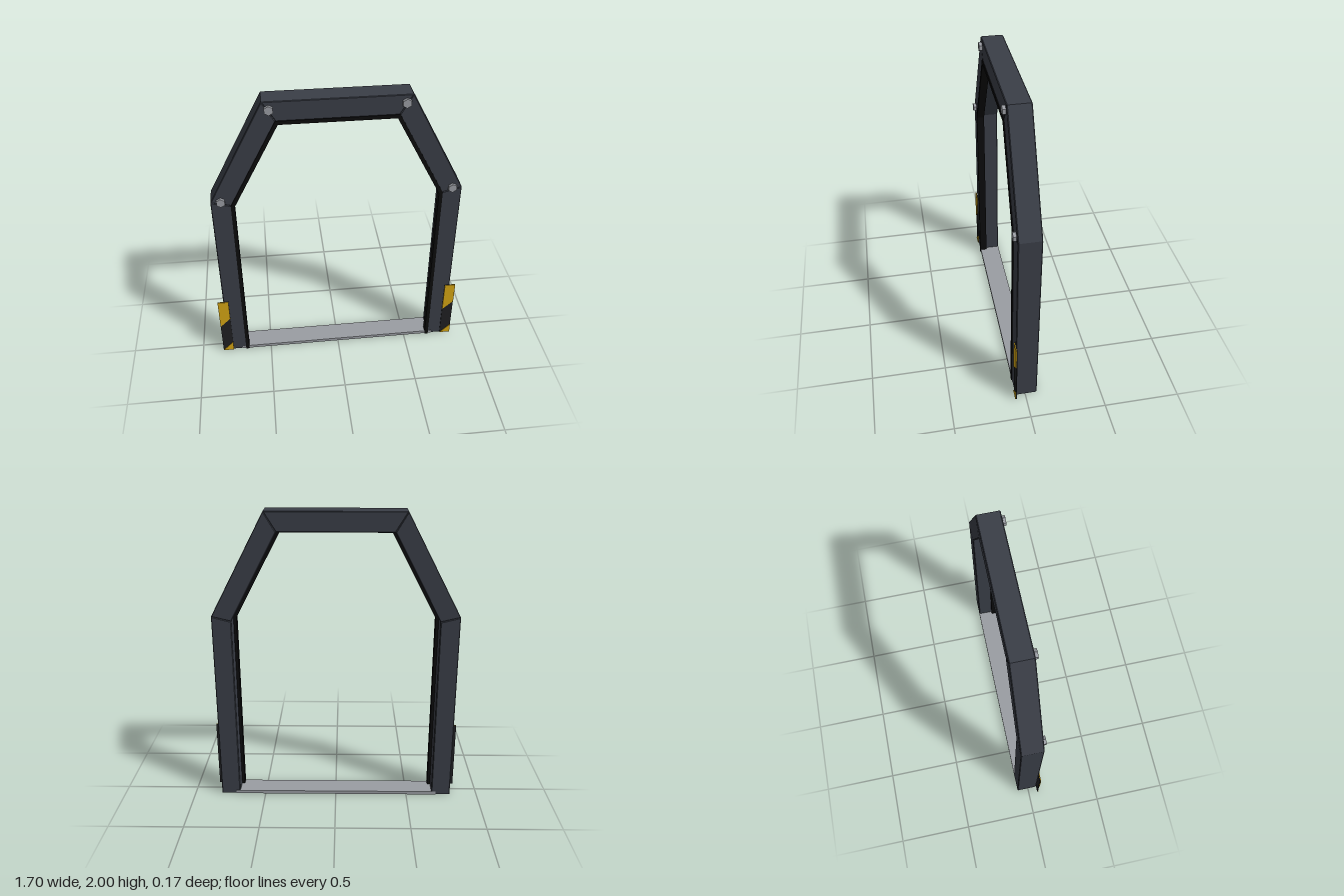
import * as THREE from 'three';

const mat = (color) => new THREE.MeshStandardMaterial({ color, flatShading: true });
const FRONT = 0.065, BACK = -0.08;

// Right half of the arch outline, moved inward by d: foot, shoulder, top corner
const outline = (d) => [
  [0.81 - d, 0],
  [0.81 - d, 1.32 - 0.25 * d],
  [0.45 - 0.6025 * d, 2 - d],
];

// The whole arch path from right foot to left foot
const arch = (d) => {
  const half = outline(d);
  return [...half, ...half.slice().reverse().map(([x, y]) => [-x, y])];
};

// Extrude a polygon between two depths, with an optional inset bevel
function slab(points, z0, z1, bevel = 0) {
  const shape = new THREE.Shape(points.map(([x, y]) => new THREE.Vector2(x, y)));
  const geometry = new THREE.ExtrudeGeometry(shape, {
    depth: z1 - z0 - 2 * bevel,
    bevelEnabled: bevel > 0,
    bevelThickness: bevel,
    bevelSize: bevel,
    bevelOffset: -bevel,
    bevelSegments: 1,
  });
  return geometry.translate(0, 0, z0 + bevel);
}

export function createModel() {
  const root = new THREE.Group();
  root.name = 'doorFrame';
  const frameMat = mat(0x3a3e47);
  const sealMat = mat(0x0b0b0c);
  const metalMat = mat(0x9a9da3);
  const darkMat = mat(0x1f2022);
  const yellowMat = mat(0xd4a514);

  const add = (name, geometry, material, parent = root) => {
    const mesh = new THREE.Mesh(geometry, material);
    mesh.name = name;
    parent.add(mesh);
    return mesh;
  };

  // Five mitred beams
  const outer = arch(0), inner = arch(0.13);
  const names = ['leftPost', 'leftSlope', 'topBeam', 'rightSlope', 'rightPost'];
  names.forEach((name, i) => {
    const corners = [outer[i], outer[i + 1], inner[i + 1], inner[i]];
    add(name, slab(corners, BACK, FRONT, 0.005), frameMat);
  });

  // Rubber seal along the inside of the opening, near the front
  const sealShape = [...arch(0.125), ...arch(0.15).reverse()];
  add('seal', slab(sealShape, 0.02, 0.071), sealMat);

  // Threshold plate between the posts
  const sill = add('sill', new THREE.BoxGeometry(1.42, 0.023, 0.147), metalMat);
  sill.position.set(0, 0.0125, -0.0075);

  // Hexagonal bolt heads at the joints
  const boltGeometry = new THREE.CylinderGeometry(0.03, 0.03, 0.025, 6).rotateX(Math.PI / 2);
  for (const side of [1, -1]) {
    for (const [x, y] of [[0.745, 1.325], [0.41, 1.95]]) {
      add('bolt', boltGeometry, metalMat).position.set(side * x, y, 0.0725);
    }
  }

  // Warning plates: dark backing with yellow stripes, slanting the same way on both sides
  for (const [name, x] of [['leftWarningPlate', 0.775], ['rightWarningPlate', -0.85]]) {
    const plate = new THREE.Group();
    plate.name = name;
    plate.position.x = x;
    root.add(plate);
    const w = 0.075;
    add('plateBacking', slab([[0, 0.005], [w, 0.005], [w, 0.475], [0, 0.475]], 0.064, 0.07), darkMat, plate);
    add('upperStripe', slab([[0, 0.245], [w, 0.318], [w, 0.476], [0, 0.476]], 0.069, 0.074), yellowMat, plate);
    add('lowerStripe', slab([[0, 0.005], [w, 0.005], [w, 0.08]], 0.069, 0.074), yellowMat, plate);
  }

  return root;
}
